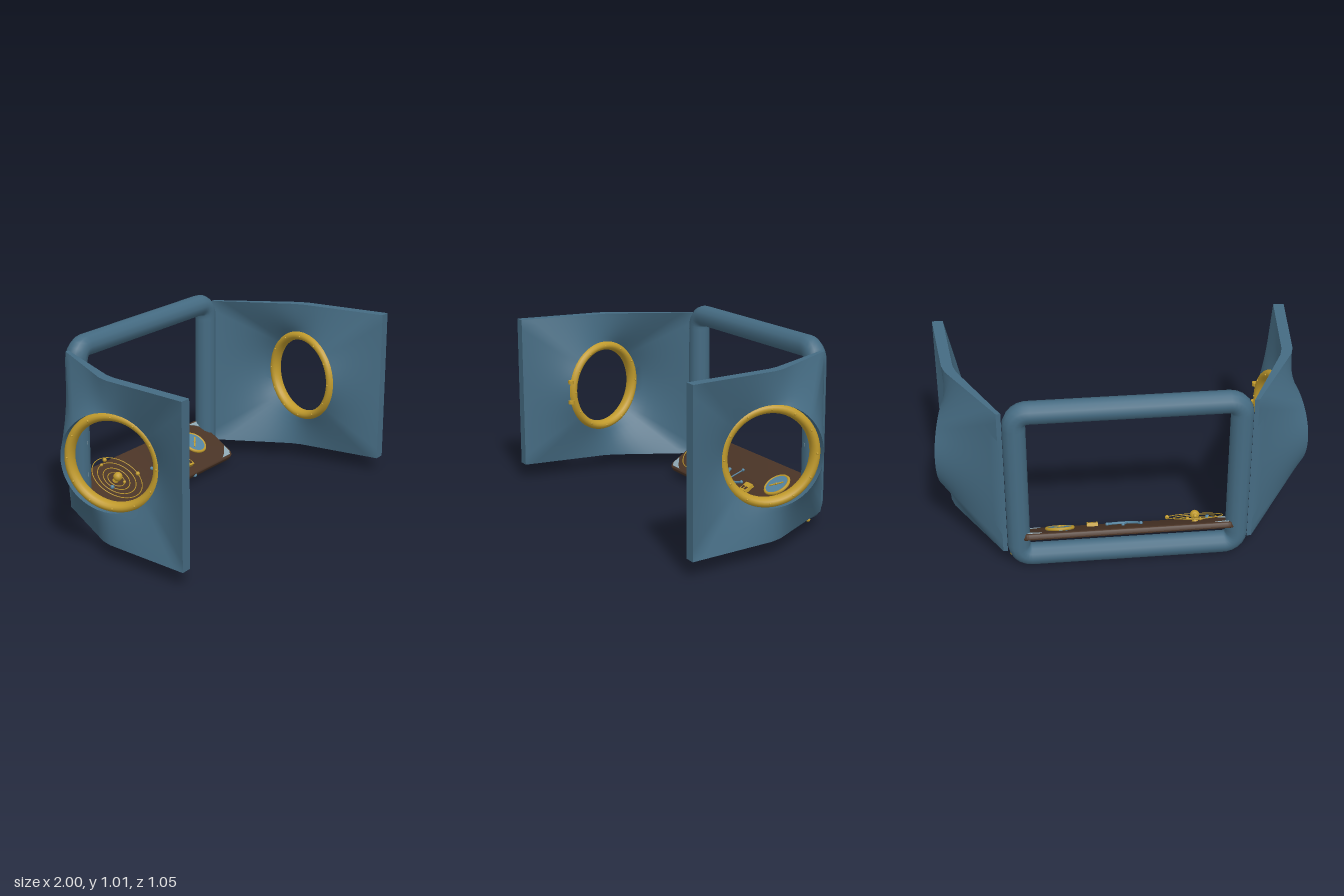
import * as THREE from 'three';
import { toCreasedNormals } from 'three/addons/utils/BufferGeometryUtils.js';

const mat = (name, color) => {
  const m = new THREE.MeshStandardMaterial({ color });
  m.name = name;
  return m;
};

export function createModel() {
  const model = new THREE.Group();
  model.name = 'foldingScreen';
  const blue = mat('slate blue', 0x456b82);
  const gold = mat('brass', 0xc09a2c);
  const brown = mat('dark wood', 0x4a3426);
  const pale = mat('pale steel', 0x8ea6b2);
  const azure = mat('instrument blue', 0x54839f);

  const add = (parent, name, geo, material, x = 0, y = 0, z = 0) => {
    const m = new THREE.Mesh(geo, material);
    m.name = name;
    m.position.set(x, y, z);
    parent.add(m);
    return m;
  };
  const ball = (r) => new THREE.SphereGeometry(r, 12, 8);

  // Rounded rectangle outline centred on the origin
  const roundedRect = (w, h, r) => {
    const s = new THREE.Shape();
    s.absarc(w - r, h - r, r, 0, Math.PI / 2);
    s.absarc(-w + r, h - r, r, Math.PI / 2, Math.PI);
    s.absarc(-w + r, -h + r, r, Math.PI, Math.PI * 1.5);
    s.absarc(w - r, -h + r, r, Math.PI * 1.5, Math.PI * 2);
    s.closePath();
    return s;
  };

  // Padded tube frame
  const outline = roundedRect(0.582, 0.446, 0.07).getSpacedPoints(160);
  outline.pop();
  const framePath = new THREE.CatmullRomCurve3(outline.map((p) => new THREE.Vector3(p.x, p.y, 0)), true);
  add(model, 'frame', new THREE.TubeGeometry(framePath, 200, 0.06, 12, true), blue, 0, 0.509, -0.462);

  // Hinge bars and small fastening marks on the uprights
  for (const s of [-1, 1]) {
    const bar = add(model, 'hingeBar', new THREE.CylinderGeometry(0.009, 0.009, 0.07, 10), gold, s * 0.59, 0.035, -0.413);
    bar.rotation.z = Math.PI / 2;
    add(model, 'hingeKnob', ball(0.012), gold, s * 0.62, 0.035, -0.413);
    for (const y of [0.26, 0.44, 0.65, 0.85]) {
      const mark = add(model, 'fasteningMark', new THREE.TorusGeometry(0.02, 0.003, 6, 10, 1.4), pale, s * 0.565, y, -0.405);
      mark.rotation.z = s > 0 ? -0.7 : Math.PI - 0.7;
    }
  }

  // Side wing: a bent panel lofted from its rectangular rim to a tilted round hole
  const wingGeometry = (s) => {
    const corners = [[0.46, 0.088], [0.46, 0.955], [-0.525, 0.955], [-0.525, 0.088]];
    const perSide = 16, steps = 8, n = perSide * 4, loop = (steps + 1) * 2;
    const pos = [], idx = [];
    for (let i = 0; i < n; i++) {
      const k = Math.floor(i / perSide), f = (i % perSide) / perSide;
      const p = corners[k], q = corners[(k + 1) % 4];
      const u = p[0] + (q[0] - p[0]) * f, y = p[1] + (q[1] - p[1]) * f;
      const a = Math.atan2(y - 0.522, u + 0.03);
      const hu = -0.03 + 0.255 * Math.cos(a), hy = 0.522 + 0.264 * Math.sin(a);
      const rimX = u > 0 ? 0.905 - 0.25 * (u / 0.46) : 0.905 - 0.055 * (u / 0.525);
      const rimHalf = u > 0 ? 0.03 - 0.018 * (u / 0.46) : 0.03;
      const holeX = 0.9 + 0.27 * (hu + 0.03);
      for (let j = 0; j < loop; j++) {
        const outer = j <= steps;
        const t = (outer ? j : loop - 1 - j) / steps;
        const half = outer ? rimHalf + (0.03 - rimHalf) * t : -(rimHalf + (0.022 - rimHalf) * t);
        const x = rimX + (holeX - rimX) * t + half;
        pos.push(s * x, y + (hy - y) * t, -(u + (hu - u) * t));
      }
    }
    for (let i = 0; i < n; i++) {
      for (let j = 0; j < loop; j++) {
        const i2 = (i + 1) % n, j2 = (j + 1) % loop;
        const A = i * loop + j, B = i * loop + j2, C = i2 * loop + j2, D = i2 * loop + j;
        if (s > 0) idx.push(A, D, C, A, C, B);
        else idx.push(A, C, D, A, B, C);
      }
    }
    const g = new THREE.BufferGeometry();
    g.setAttribute('position', new THREE.Float32BufferAttribute(pos, 3));
    g.setIndex(idx);
    return toCreasedNormals(g, 0.7);
  };

  // Porthole ring profile, a flattened oval
  const ringProfile = [];
  for (let i = 0; i <= 16; i++) {
    const a = (i / 16) * Math.PI * 2;
    ringProfile.push(new THREE.Vector2(0.241 + 0.026 * Math.cos(a), 0.036 * Math.sin(a)));
  }

  for (const s of [-1, 1]) {
    const wing = new THREE.Group();
    wing.name = s > 0 ? 'leftWing' : 'rightWing';
    model.add(wing);
    add(wing, 'wingPanel', wingGeometry(s), blue);
    const porthole = new THREE.Group();
    porthole.name = 'porthole';
    porthole.position.set(s * 0.89, 0.522, 0.03);
    porthole.quaternion.setFromUnitVectors(new THREE.Vector3(0, 1, 0), new THREE.Vector3(s, 0, 0.27).normalize());
    wing.add(porthole);
    add(porthole, 'portholeRing', new THREE.LatheGeometry(ringProfile, 64), gold);
    for (let i = 0; i < 12; i++) {
      const a = ((i + 0.5) / 12) * Math.PI * 2;
      for (const h of [-0.035, 0.035]) {
        add(porthole, 'rivet', ball(0.006), gold, 0.241 * Math.cos(a), h, 0.241 * Math.sin(a));
      }
    }
    // Clasps on the right wing only
    if (s < 0) {
      for (const y of [0.465, 0.585]) {
        add(wing, 'clasp', new THREE.CylinderGeometry(0.017, 0.017, 0.02, 12), gold, -0.8, y, 0.28);
      }
    }
  }

  // Sloping shelf
  const shelf = new THREE.Group();
  shelf.name = 'shelf';
  shelf.position.set(0, 0.13, -0.385);
  shelf.rotation.x = 0.56;
  model.add(shelf);
  const board = new THREE.ExtrudeGeometry(roundedRect(0.562, 0.151, 0.035), {
    depth: 0.019, bevelEnabled: true, bevelSize: 0.008, bevelThickness: 0.008, bevelSegments: 3, curveSegments: 8,
  });
  board.rotateX(-Math.PI / 2);
  add(shelf, 'shelfBoard', toCreasedNormals(board, 0.6), brown, 0, -0.0095, 0);

  // Corner plates
  for (const sx of [-1, 1]) {
    for (const sz of [-1, 1]) {
      const plate = new THREE.Shape();
      const pts = [[0.555, 0.08], [0.555, 0.125], [0.535, 0.146], [0.46, 0.146], [0.5, 0.125]];
      plate.setFromPoints(pts.map(([x, z]) => new THREE.Vector2(sx * x, sz * z)));
      const g = new THREE.ExtrudeGeometry(plate, { depth: 0.004, bevelEnabled: false });
      g.rotateX(-Math.PI / 2);
      add(shelf, 'cornerPlate', g, pale, 0, 0.0165, 0);
    }
  }

  const flatRing = (parent, name, R, r, material, x, y, z) => {
    const m = add(parent, name, new THREE.TorusGeometry(R, r, 6, 48), material, x, y, z);
    m.rotation.x = Math.PI / 2;
    return m;
  };

  // Orrery: nested orbits round a central sun
  const orrery = new THREE.Group();
  orrery.name = 'orrery';
  orrery.position.set(-0.37, 0.018, -0.02);
  shelf.add(orrery);
  add(orrery, 'orreryPost', new THREE.CylinderGeometry(0.012, 0.018, 0.03, 12), gold, 0, 0.012, 0);
  add(orrery, 'sun', ball(0.026), gold, 0, 0.035, 0);
  [0.05, 0.08, 0.115, 0.15].forEach((R, i) => {
    const a = 0.8 + i * 1.9;
    const h = 0.012 + i * 0.005;
    flatRing(orrery, 'orbit', R, 0.0025, gold, 0, h, 0);
    add(orrery, 'planet', ball(0.009 + (i % 2) * 0.003), i === 1 ? azure : gold, R * Math.cos(a), h, R * Math.sin(a));
  });
  add(orrery, 'outerPlanet', ball(0.012), gold, 0.015, 0.04, -0.125);

  // Curved scale with its pointer
  const arc = new THREE.QuadraticBezierCurve3(
    new THREE.Vector3(-0.08, 0.024, 0.01), new THREE.Vector3(-0.02, 0.024, 0.12), new THREE.Vector3(0.1, 0.024, 0.055));
  add(shelf, 'scaleArc', new THREE.TubeGeometry(arc, 24, 0.007, 8), azure);
  const shaft = new THREE.LineCurve3(new THREE.Vector3(0.02, 0.024, -0.02), new THREE.Vector3(-0.015, 0.024, 0.075));
  add(shelf, 'scalePointer', new THREE.TubeGeometry(shaft, 4, 0.004, 8), azure);
  for (const t of [0, 1]) {
    const p = arc.getPoint(t);
    add(shelf, 'scaleEnd', ball(0.01), azure, p.x, p.y, p.z);
  }
  add(shelf, 'pointerEnd', ball(0.009), azure, 0.02, 0.024, -0.02);

  // Small brass lock box with inset panels and a knob on the shelf edge
  add(shelf, 'lockBox', new THREE.BoxGeometry(0.06, 0.022, 0.06), gold, 0.18, 0.025, 0.075);
  for (const x of [-0.014, 0.014]) {
    add(shelf, 'lockPanel', new THREE.BoxGeometry(0.016, 0.004, 0.02), brown, 0.18 + x, 0.036, 0.085);
  }
  add(shelf, 'edgeKnob', ball(0.012), azure, 0.18, 0, 0.158);

  // Compass
  add(shelf, 'compassDial', new THREE.CylinderGeometry(0.07, 0.07, 0.016, 40), azure, 0.36, 0.025, -0.02);
  flatRing(shelf, 'compassRim', 0.071, 0.009, gold, 0.36, 0.027, -0.02);
  const needle = add(shelf, 'compassNeedle', new THREE.BoxGeometry(0.085, 0.004, 0.008), gold, 0.36, 0.035, -0.02);
  needle.rotation.y = 0.7;
  add(shelf, 'compassPin', ball(0.007), gold, 0.36, 0.036, -0.02);

  return model;
}
